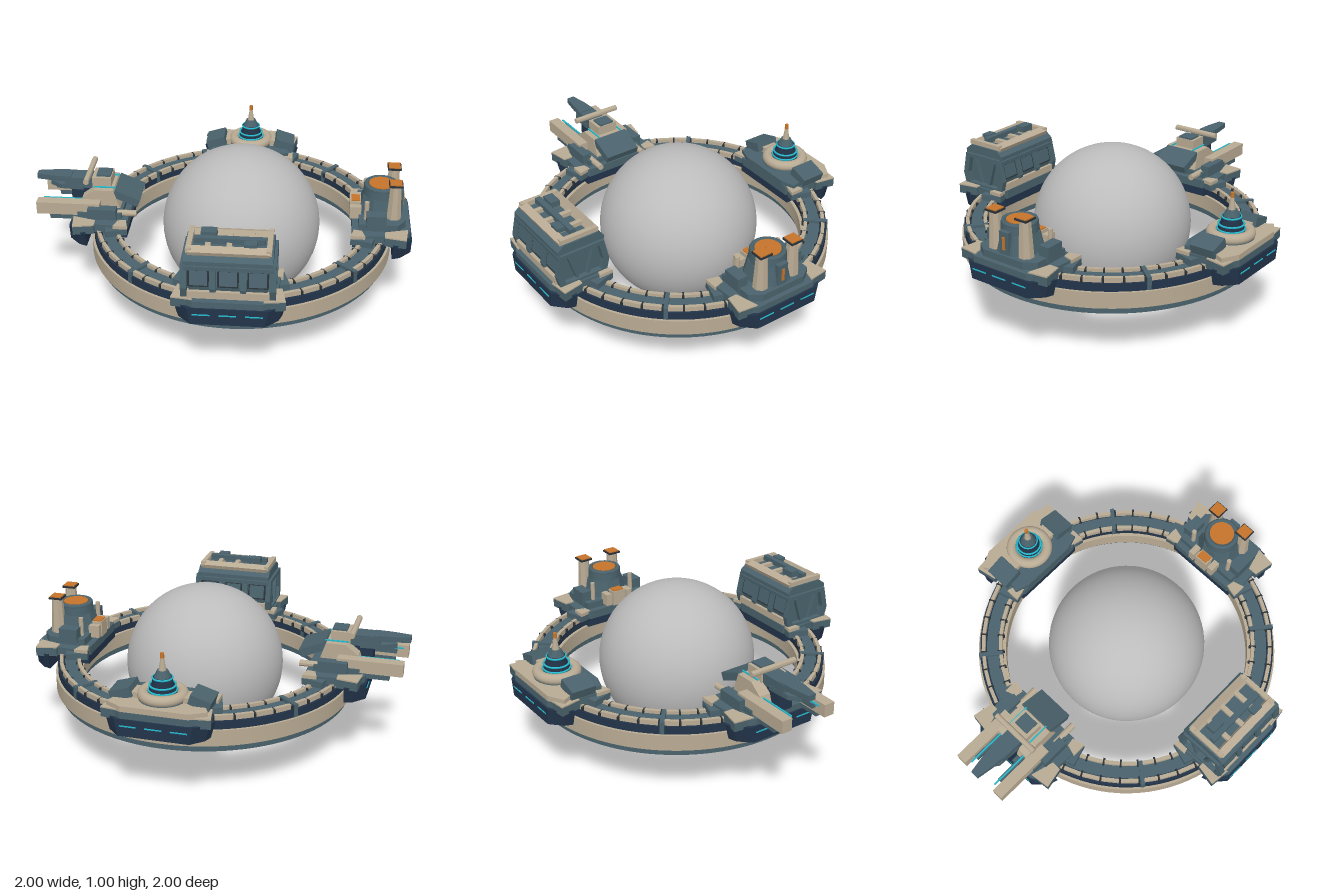
import * as THREE from 'three';
import { toCreasedNormals } from 'three/addons/utils/BufferGeometryUtils.js';

const paint = (name, color) => {
  const m = new THREE.MeshStandardMaterial({ color });
  m.name = name;
  return m;
};
const grey = paint('planet grey', 0xbcbcbc);
const beige = paint('hull beige', 0xb9ab94);
const teal = paint('slate teal', 0x4a626c);
const navy = paint('deep navy', 0x22344a);
const dark = paint('dark trim', 0x2a3238);
const cyan = paint('cyan light', 0x25b9cc);
const orange = paint('orange glow', 0xc4742a);

function add(parent, name, geo, mat, x = 0, y = 0, z = 0, rx = 0, ry = 0, rz = 0) {
  const m = new THREE.Mesh(geo, mat);
  m.name = name;
  m.position.set(x, y, z);
  m.rotation.set(rx, ry, rz);
  parent.add(m);
  return m;
}
const box = (w, h, d) => new THREE.BoxGeometry(w, h, d);
const cyl = (r0, r1, h, n = 24) => toCreasedNormals(new THREE.CylinderGeometry(r0, r1, h, n), 0.6);

// closed ring with a rectangular section
function band(r0, r1, y0, y1) {
  const p = [[r0, y0], [r1, y0], [r1, y1], [r0, y1], [r0, y0]].map(([x, y]) => new THREE.Vector2(x, y));
  return toCreasedNormals(new THREE.LatheGeometry(p, 96), 0.6);
}

const shapeOf = (pts) => new THREE.Shape(pts.map(([a, b]) => new THREE.Vector2(a, b)));

// plan outline in x, z raised from y0 to y1; the foot is scaled in x
function slab(pts, y0, y1, foot = 1) {
  const g = new THREE.ExtrudeGeometry(shapeOf(pts.map(([x, z]) => [x, -z])), { depth: y1 - y0, bevelEnabled: false });
  g.rotateX(-Math.PI / 2).translate(0, y0, 0);
  const p = g.attributes.position;
  for (let i = 0; i < p.count; i++) if (p.getY(i) < y0 + 0.001) p.setX(i, p.getX(i) * foot);
  g.computeVertexNormals();
  return g;
}

// section in z, y drawn out along x, centred on x = 0
function prism(pts, length, hole) {
  const s = shapeOf(pts);
  if (hole) s.holes.push(shapeOf(hole));
  return new THREE.ExtrudeGeometry(s, { depth: length, bevelEnabled: false })
    .translate(0, 0, -length / 2).rotateY(-Math.PI / 2);
}

function makeRing(g) {
  add(g, 'ringKeel', band(0.80, 0.93, 0.335, 0.385), teal);
  add(g, 'ringBelt', band(0.78, 0.955, 0.38, 0.48), beige);
  add(g, 'ringTrench', band(0.80, 0.94, 0.475, 0.53), navy);
  add(g, 'ringDeck', band(0.82, 0.895, 0.52, 0.542), teal);
  // segmented rails with dark clips between them
  const n = 48, step = (Math.PI * 2) / n;
  for (const r of [0.806, 0.915]) {
    const seg = box(r * step * 0.9, 0.035, 0.022), clip = box(0.012, 0.03, 0.045);
    for (let i = 0; i < n; i++) {
      const a = i * step, b = a + step / 2;
      add(g, 'railSegment', seg, beige, r * Math.sin(a), 0.543, r * Math.cos(a), 0, a);
      add(g, 'railClip', clip, dark, r * Math.sin(b), 0.54, r * Math.cos(b), 0, b);
    }
  }
  // clamps across the deck
  for (let i = 0; i < 4; i++) {
    const a = 0.085 + i * Math.PI / 2;
    add(g, 'ringClamp', box(0.026, 0.08, 0.15), teal, 0.87 * Math.sin(a), 0.522, 0.87 * Math.cos(a), 0, a);
  }
}

// base shared by the four modules: local z points away from the planet
function makePlatform(g) {
  add(g, 'platformHull', slab([[-0.33, 0.95], [-0.31, 1.0], [-0.23, 1.07], [0.23, 1.07], [0.31, 1.0], [0.33, 0.95]], 0.46, 0.565, 0.92), navy);
  add(g, 'platformDeck', slab([[-0.29, 0.73], [-0.27, 1.02], [-0.2, 1.06], [0.2, 1.06], [0.27, 1.02], [0.29, 0.73], [0.22, 0.7], [-0.22, 0.7]], 0.55, 0.605), teal);
  add(g, 'innerHull', box(0.48, 0.06, 0.08), navy, 0, 0.525, 0.745);
  for (const x of [-0.15, 0, 0.15]) add(g, 'hullLight', box(0.1, 0.007, 0.006), cyan, x, 0.525, 1.071);
  for (const s of [-1, 1]) {
    const corner = (pts) => pts.map(([x, z]) => [x * s, z]);
    const outer = corner([[0.2, 1.045], [0.325, 1.03], [0.3, 0.9], [0.24, 0.9]]);
    const inner = corner([[0.24, 0.85], [0.34, 0.82], [0.3, 0.69], [0.22, 0.71]]);
    add(g, 'outerFin', slab(outer, 0.55, 0.605), teal);
    add(g, 'outerFinPlate', slab(outer, 0.605, 0.613), beige);
    add(g, 'innerFin', slab(inner, 0.55, 0.59), teal);
    add(g, 'innerFinPlate', slab(corner([[0.23, 0.76], [0.3, 0.78], [0.3, 0.69], [0.22, 0.71]]), 0.59, 0.612), beige);
  }
}

function makeHabitat(g) {
  const z = 0.865;
  const sec = [[-0.15, 0.6], [0.15, 0.6], [0.17, 0.68], [0.14, 0.82], [-0.14, 0.82], [-0.17, 0.68]];
  const at = (k, lift = 0) => sec.map(([a, y]) => [a * k, (y - 0.71) * k + 0.71 + lift]);
  add(g, 'habitatCore', prism(at(0.92), 0.44), teal, 0, 0, z);
  const frame = prism(at(1.03), 0.035, at(0.8).reverse());
  for (const x of [-0.25, -0.085, 0.085, 0.25]) add(g, 'habitatFrame', frame, teal, x, 0, z);
  for (const s of [-1, 1]) {
    add(g, 'habitatSill', box(0.46, 0.045, 0.03), beige, 0, 0.635, z + s * 0.155);
    add(g, 'habitatLintel', box(0.5, 0.025, 0.03), teal, 0, 0.8, z + s * 0.14);
    for (const x of [-0.167, 0, 0.167])
      add(g, 'habitatWindow', box(0.1, 0.085, 0.012), teal, x, 0.735, z + s * 0.148, -s * 0.21);
    for (const x of [-0.167, 0, 0.167])
      add(g, 'windowSurround', box(0.12, 0.105, 0.008), dark, x, 0.735, z + s * 0.145, -s * 0.21);
    add(g, 'roofRail', box(0.46, 0.04, 0.05), beige, 0, 0.885, z + s * 0.105, s * 0.4);
    add(g, 'endBeam', box(0.03, 0.03, 0.25), beige, s * 0.225, 0.895, z);
    add(g, 'endStrut', box(0.025, 0.17, 0.02), teal, s * 0.245, 0.71, z + 0.06, 0.3);
    add(g, 'endStrut', box(0.025, 0.17, 0.02), teal, s * 0.245, 0.71, z - 0.06, -0.3);
  }
  add(g, 'habitatRoof', prism([[-0.155, 0.82], [0.155, 0.82], [0.155, 0.845], [0.11, 0.88], [-0.11, 0.88], [-0.155, 0.845]], 0.5), teal, 0, 0, z);
  for (const x of [-0.12, 0, 0.12]) add(g, 'roofSlat', box(0.03, 0.03, 0.2), beige, x, 0.89, z);
  add(g, 'roofSpine', box(0.4, 0.035, 0.035), teal, 0, 0.91, z + 0.02);
  add(g, 'roofPod', box(0.09, 0.04, 0.06), teal, -0.12, 0.925, z - 0.03);
  add(g, 'roofPod', box(0.07, 0.03, 0.05), teal, 0.12, 0.915, z + 0.07);
}

function makeReactor(g) {
  const z = 0.875;
  add(g, 'reactorBase', slab([[-0.22, 0.74], [-0.22, 0.98], [-0.15, 1.03], [0.15, 1.03], [0.22, 0.98], [0.22, 0.74]], 0.6, 0.65), teal);
  add(g, 'reactorBody', cyl(0.12, 0.15, 0.12, 8), teal, 0, 0.7, z, 0, Math.PI / 8);
  add(g, 'reactorDrum', cyl(0.108, 0.115, 0.1), teal, 0, 0.77, z);
  add(g, 'reactorRim', new THREE.TorusGeometry(0.094, 0.016, 8, 32), teal, 0, 0.815, z, Math.PI / 2);
  add(g, 'reactorCore', cyl(0.078, 0.078, 0.02), orange, 0, 0.818, z);
  for (const s of [-1, 1]) {
    add(g, 'stack', cyl(0.035, 0.05, 0.27, 8), beige, s * 0.113, 0.745, z + 0.08, 0, Math.PI / 8);
    add(g, 'stackCollar', box(0.085, 0.012, 0.085), dark, s * 0.113, 0.883, z + 0.08);
    add(g, 'stackVent', box(0.074, 0.006, 0.074), orange, s * 0.113, 0.892, z + 0.08);
    add(g, 'sideTank', box(0.07, 0.09, 0.12), teal, s * 0.2, 0.67, z - 0.03);
    add(g, 'sidePipe', cyl(0.015, 0.015, 0.14, 10), beige, s * 0.15, 0.7, z - 0.09);
    add(g, 'innerBrace', box(0.04, 0.08, 0.07), beige, s * 0.08, 0.66, z - 0.155);
  }
  add(g, 'reactorSlotFrame', box(0.07, 0.14, 0.03), teal, 0, 0.72, z + 0.125);
  add(g, 'reactorSlot', box(0.018, 0.08, 0.008), orange, 0, 0.72, z + 0.142);
  add(g, 'rearVentHousing', box(0.09, 0.1, 0.07), beige, 0, 0.66, z - 0.155);
  add(g, 'rearVent', box(0.075, 0.008, 0.055), orange, 0, 0.713, z - 0.155);
}

function makeBeacon(g) {
  const z = 0.877;
  add(g, 'beaconApron', slab([[-0.24, z], [-0.3, 1.0], [-0.2, 1.055], [0.2, 1.055], [0.3, 1.0], [0.24, z]], 0.6, 0.64), beige);
  add(g, 'beaconRear', slab([[-0.27, 0.73], [-0.24, z], [0.24, z], [0.27, 0.73], [0.18, 0.7], [-0.18, 0.7]], 0.6, 0.635), teal);
  add(g, 'beaconBase', cyl(0.13, 0.15, 0.05, 32), teal, 0, 0.645, z);
  add(g, 'beaconCollar', new THREE.TorusGeometry(0.115, 0.033, 12, 40), beige, 0, 0.665, z, Math.PI / 2);
  // stepped tower with light rings
  const steps = [[0.085, 0.075, 0.66, 0.72, navy], [0.064, 0.056, 0.72, 0.77, navy], [0.05, 0.032, 0.77, 0.81, teal], [0.022, 0.01, 0.81, 0.885, beige], [0.013, 0.011, 0.885, 0.915, orange]];
  for (const [r0, r1, y0, y1, mat] of steps) add(g, 'beaconTower', cyl(r1, r0, y1 - y0), mat, 0, (y0 + y1) / 2, z);
  for (const [r, y] of [[0.082, 0.69], [0.076, 0.72], [0.057, 0.765]])
    add(g, 'lightRing', new THREE.TorusGeometry(r, 0.006, 8, 32), cyan, 0, y, z, Math.PI / 2);
  for (const s of [-1, 1]) {
    add(g, 'sideWing', box(0.13, 0.06, 0.16), teal, s * 0.235, 0.66, z - 0.01, 0, 0, -s * 0.3);
    add(g, 'wingRoot', box(0.06, 0.05, 0.1), beige, s * 0.165, 0.65, z);
  }
}

function makeDock(g) {
  add(g, 'dockBase', slab([[-0.2, 0.74], [-0.2, 1.02], [0.2, 1.02], [0.2, 0.74]], 0.6, 0.64), teal);
  add(g, 'dockBlock', prism([[0.76, 0.64], [1.02, 0.64], [1.0, 0.7], [0.92, 0.76], [0.8, 0.76]], 0.25), beige);
  add(g, 'dockTower', box(0.14, 0.08, 0.12), beige, 0, 0.78, 0.88);
  add(g, 'dockTowerRoof', box(0.1, 0.012, 0.09), teal, 0, 0.825, 0.87);
  add(g, 'crossBar', cyl(0.018, 0.018, 0.32, 12), beige, 0, 0.835, 0.96, 0, 0, Math.PI / 2);
  // central spear between two long arms
  add(g, 'spearBody', box(0.11, 0.07, 0.2), teal, 0, 0.77, 1.02);
  add(g, 'spear', slab([[-0.05, 1.08], [-0.045, 1.18], [-0.025, 1.3], [0.025, 1.3], [0.045, 1.18], [0.05, 1.08]], 0.775, 0.81), teal);
  add(g, 'spearLower', slab([[-0.06, 1.0], [-0.05, 1.15], [0, 1.22], [0.05, 1.15], [0.06, 1.0]], 0.725, 0.755), teal);
  add(g, 'spearSupport', box(0.1, 0.14, 0.16), navy, 0, 0.68, 1.0);
  for (const s of [-1, 1]) {
    add(g, 'dockArm', box(0.07, 0.08, 0.4), beige, s * 0.155, 0.655, 1.08);
    add(g, 'dockArmKeel', box(0.05, 0.04, 0.28), teal, s * 0.155, 0.6, 1.06);
    add(g, 'guideRail', box(0.025, 0.03, 0.22), teal, s * 0.1, 0.665, 1.1);
    add(g, 'guideLight', box(0.009, 0.008, 0.25), cyan, s * 0.1, 0.684, 1.125);
    add(g, 'towerLight', box(0.008, 0.008, 0.14), cyan, s * 0.085, 0.765, 0.86);
    add(g, 'rearArm', cyl(0.02, 0.02, 0.16, 10), beige, s * 0.165, 0.63, 0.73, Math.PI / 2);
    add(g, 'sideBlock', box(0.06, 0.07, 0.18), teal, s * 0.2, 0.645, 0.86);
  }
  add(g, 'rearPlate', box(0.24, 0.05, 0.17), teal, 0, 0.705, 0.72, -0.4);
}

export function createModel() {
  const root = new THREE.Group();
  root.name = 'orbitalRing';
  const hub = new THREE.Group();
  hub.name = 'station';
  hub.position.set(0.04, 0, -0.04);
  root.add(hub);
  add(hub, 'planet', new THREE.SphereGeometry(0.5, 64, 40), grey, 0, 0.505, 0);
  const ring = new THREE.Group();
  ring.name = 'ring';
  hub.add(ring);
  makeRing(ring);
  // one module on each diagonal
  const modules = [['habitat', makeHabitat], ['reactor', makeReactor], ['beacon', makeBeacon], ['dock', makeDock]];
  modules.forEach(([name, make], i) => {
    const g = new THREE.Group();
    g.name = name;
    g.rotation.y = Math.PI / 4 + i * Math.PI / 2;
    hub.add(g);
    makePlatform(g);
    make(g);
  });
  return root;
}
